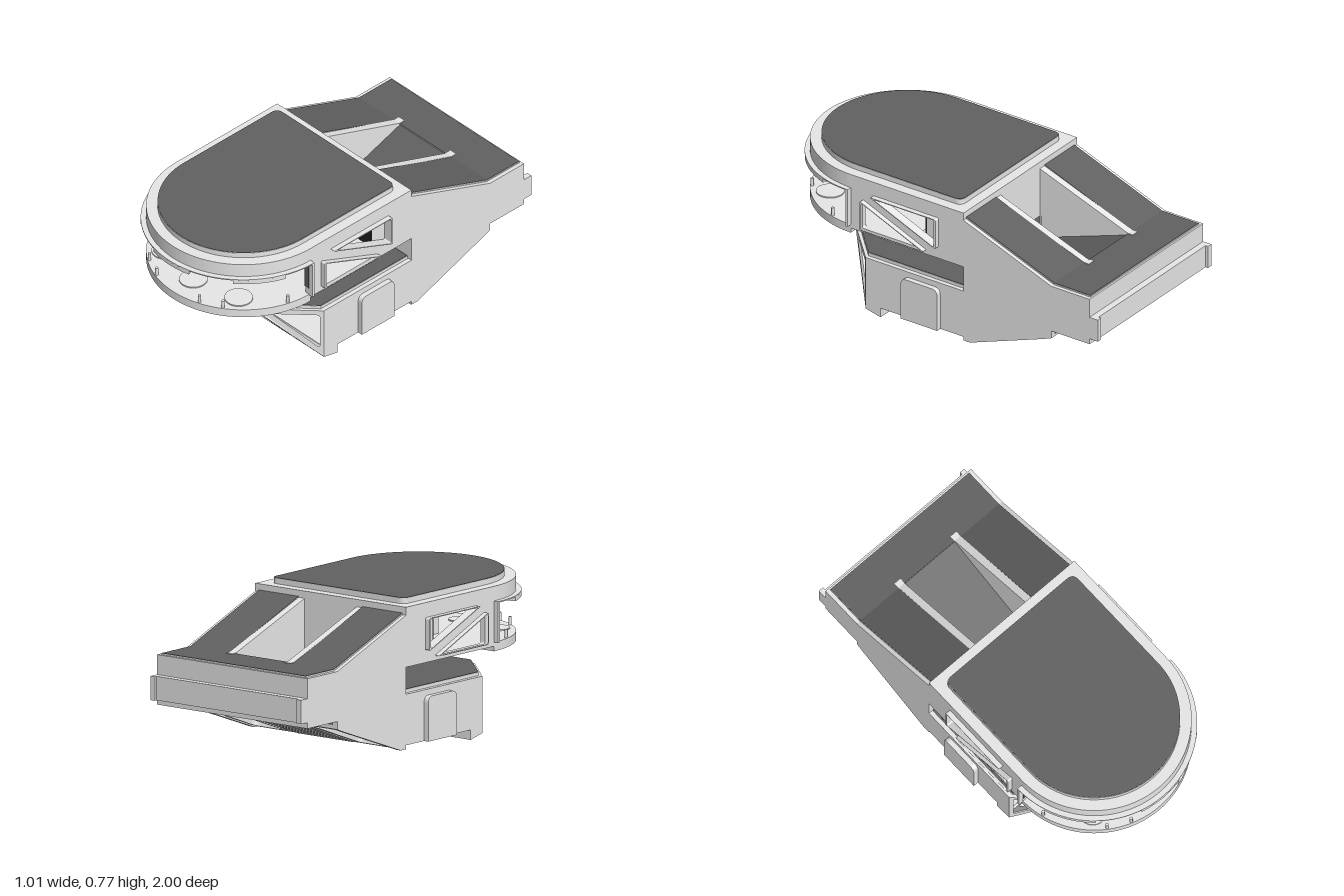
import * as THREE from 'three';

const mat = (name, color) => {
  const m = new THREE.MeshStandardMaterial({ color });
  m.name = name;
  return m;
};

// Closed outline with softened corners
function outline(pts, r = 0, Type = THREE.Shape) {
  const p = pts.map(a => new THREE.Vector2(a[0], a[1]));
  const s = new Type();
  p.forEach((c, i) => {
    const a = p[(i + p.length - 1) % p.length], b = p[(i + 1) % p.length];
    const e = c.clone().add(a.clone().sub(c).setLength(r));
    const f = c.clone().add(b.clone().sub(c).setLength(r));
    if (i) s.lineTo(e.x, e.y); else s.moveTo(e.x, e.y);
    if (r) s.quadraticCurveTo(c.x, c.y, f.x, f.y);
  });
  s.closePath();
  return s;
}
const withHoles = (shape, holes, r) => {
  holes.forEach(h => shape.holes.push(outline(h, r, THREE.Path)));
  return shape;
};
const extrude = (shape, depth) =>
  new THREE.ExtrudeGeometry(shape, { depth, bevelEnabled: false, curveSegments: 32 });

// Profile in (z, y) swept from x0 to x1
const across = (shape, x0, x1) => extrude(shape, x1 - x0).rotateY(-Math.PI / 2).translate(x1, 0, 0);
// Plan in (x, z) raised from y0 to y1
const raise = (shape, y0, y1) => extrude(shape, y1 - y0).rotateX(Math.PI / 2).translate(0, y1, 0);
// Sheet laid on an inclined plane
function incline(geo, origin, u, v) {
  const x = new THREE.Vector3(...u).normalize(), y = new THREE.Vector3(...v).normalize();
  const m = new THREE.Matrix4().makeBasis(x, y, x.clone().cross(y)).setPosition(...origin);
  return geo.applyMatrix4(m);
}
// Mirror in x with the winding put right
function mirrored(geo) {
  const g = geo.index ? geo.toNonIndexed() : geo.clone();
  g.scale(-1, 1, 1);
  for (const a of Object.values(g.attributes)) {
    const n = a.itemSize;
    for (let i = 0; i < a.count; i += 3) for (let k = 0; k < n; k++) {
      const p = (i + 1) * n + k, q = (i + 2) * n + k, t = a.array[p];
      a.array[p] = a.array[q]; a.array[q] = t;
    }
  }
  return g;
}
const box = (x0, x1, y0, y1, z0, z1) =>
  new THREE.BoxGeometry(x1 - x0, y1 - y0, z1 - z0).translate((x0 + x1) / 2, (y0 + y1) / 2, (z0 + z1) / 2);

const CZ = 0.49; // centre of the rounded nose
// D-shaped plan with a round nose and softened rear corners
function dPlan(r, back, c = 0) {
  const s = new THREE.Shape();
  s.moveTo(-r + c, back);
  s.lineTo(r - c, back);
  if (c) s.quadraticCurveTo(r, back, r, back + c);
  s.lineTo(r, CZ);
  s.absarc(0, CZ, r, 0, Math.PI, false);
  s.lineTo(-r, back + c);
  if (c) s.quadraticCurveTo(-r, back, -r + c, back);
  return s;
}
function sector(r0, r1, a0, a1) {
  const s = new THREE.Shape();
  s.absarc(0, CZ, r1, a0, a1, false);
  s.absarc(0, CZ, r0, a1, a0, true);
  s.closePath();
  return s;
}

export function createModel() {
  const g = new THREE.Group();
  g.name = 'model';
  const light = mat('lightGrey', 0xe7e7e7), dark = mat('darkGrey', 0x616161), black = mat('nearBlack', 0x222222);
  const add = (name, geo, m = light) => {
    const mesh = new THREE.Mesh(geo, m);
    mesh.name = name;
    g.add(mesh);
  };
  const pair = (name, geo, m = light) => {
    add(name + 'Left', geo, m);
    add(name + 'Right', mirrored(geo), m);
  };
  const W = 0.478, I = 0.45;

  // Lower and rear side walls
  const hull = [[0.4, 0.305], [0.4, 0.02], [0.31, 0], [0.31, 0.05], [-0.19, 0.05], [-0.19, 0.03], [-0.23, 0.03],
    [-0.67, 0.19], [-0.72, 0.21], [-0.72, 0.25], [-0.95, 0.25], [-0.95, 0.28], [-1, 0.28], [-1, 0.4], [-0.95, 0.4],
    [-0.95, 0.5], [-0.72, 0.5], [-0.19, 0.7], [-0.19, 0.305]];
  pair('hullSide', across(outline(hull), I, W));
  const door = new THREE.Shape();
  door.moveTo(-0.05, 0.05); door.lineTo(0.17, 0.05); door.lineTo(0.17, 0.24);
  door.quadraticCurveTo(0.17, 0.275, 0.135, 0.275); door.lineTo(-0.015, 0.275);
  door.quadraticCurveTo(-0.05, 0.275, -0.05, 0.24);
  pair('sideDoor', across(door, W, 0.505));

  // Upper side walls with triangular windows and projecting rims
  const tris = [[[0.36, 0.665], [-0.04, 0.665], [-0.04, 0.5]], [[0.42, 0.625], [0.42, 0.463], [0.03, 0.463]]];
  const wall = outline([[-0.19, 0.44], [0.5, 0.44], [0.5, 0.74], [-0.19, 0.74]]);
  pair('cabinSide', across(withHoles(wall, tris, 0.012), I, W));
  tris.forEach(t => {
    const c = [0, 1].map(k => (t[0][k] + t[1][k] + t[2][k]) / 3);
    const inner = t.map(p => [c[0] + (p[0] - c[0]) * 0.92, c[1] + (p[1] - c[1]) * 0.92]);
    pair('windowRim', across(withHoles(outline(t, 0.012), [inner], 0.012), I + 0.005, 0.505));
  });

  // Roof and its raised cap
  add('roof', raise(dPlan(W, -0.19), 0.665, 0.74));
  add('roofCap', raise(dPlan(0.422, -0.137, 0.04), 0.74, 0.768));
  add('roofPanel', raise(dPlan(0.42, -0.135, 0.04), 0.768, 0.77), dark);

  // Cabin floor and balcony
  add('cabinFloor', box(-I, I, 0.44, 0.46, -0.19, 0.5));
  add('balcony', raise(sector(0, W, 0, Math.PI), 0.415, 0.46));
  [[-0.26, 0.77], [0, 0.83], [0.26, 0.77]].forEach(([x, z]) =>
    add('floorDisc', new THREE.CylinderGeometry(0.07, 0.07, 0.006, 32).translate(x, 0.463, z)));

  // Panoramic opening: eave, lips, end posts and stubs
  add('eave', raise(sector(0.465, 0.505, 0, Math.PI), 0.661, 0.667));
  add('frontLip', raise(sector(0.455, 0.505, 1.32, Math.PI - 1.32), 0.64, 0.661));
  pair('sideLip', raise(sector(0.455, 0.505, 0.34, 0.86), 0.64, 0.661));
  pair('endPost', box(W, 0.505, 0.46, 0.665, 0.49, 0.503));
  pair('openingEdge', box(I, W, 0.5, 0.661, 0.5, 0.504), dark);
  [0.45, 0.262, 0.152].forEach(x => {
    const z = CZ + Math.sqrt(0.468 ** 2 - x * x);
    pair('stub', new THREE.CylinderGeometry(0.008, 0.008, 0.045, 10).translate(x, 0.48, z));
  });

  // Cabin bulkhead, dark bays and screen
  add('bulkhead', box(-I, I, 0.46, 0.665, -0.19, 0.05));
  add('bulkheadStep', box(-I, I, 0.46, 0.505, 0.05, 0.12));
  pair('darkBay', box(0.21, I, 0.505, 0.665, 0.05, 0.058), black);
  pair('bayJamb', box(0.18, 0.21, 0.505, 0.665, 0.05, 0.058), dark);
  pair('column', box(0.145, 0.18, 0.46, 0.665, 0.05, 0.13));
  pair('columnJamb', box(0.13, 0.145, 0.5, 0.665, 0.05, 0.058), dark);
  add('screenStand', box(-0.125, 0.125, 0.46, 0.665, 0.42, 0.49));
  add('screen', box(-0.102, 0.102, 0.52, 0.628, 0.49, 0.498), black);

  // Lower bay: top deck, floor and prow
  const deck = (w, n, f, b) => outline([[-w, b], [w, b], [w, 0.4], [n, f], [-n, f], [-w, 0.4]]);
  add('lowerDeck', raise(deck(W, 0.24, 0.63, -0.19), 0.29, 0.305));
  add('lowerDeckTop', raise(deck(0.455, 0.23, 0.615, -0.185), 0.305, 0.322));
  add('lowerDeckPanel', raise(deck(0.453, 0.229, 0.613, -0.185), 0.322, 0.324), dark);
  add('bayFloor', box(-I, I, 0.05, 0.06, -0.19, 0.38));
  add('prow', across(outline([[0.4, 0.02], [0.31, 0], [0.31, 0.05], [0.38, 0.05]]), -W, W));

  // Inclined front frame
  const frame = withHoles(outline([[-W, 0], [W, 0], [0.24, 0.355], [-0.24, 0.355]]),
    [[[-0.22, 0.026], [0.22, 0.026], [0.22, 0.335], [-0.22, 0.335]],
      [[0.26, 0.27], [0.26, 0.018], [0.418, 0.018]], [[-0.26, 0.27], [-0.26, 0.018], [-0.418, 0.018]]], 0.022);
  const up = [0, 0.27, 0.23];
  add('frontFrame', incline(extrude(frame, 0.022).translate(0, 0, -0.022), [0, 0.02, 0.4], [1, 0, 0], up));
  // Upright corner facets with triangular windows
  const facet = withHoles(outline([[0, 0], [0, 0.285], [0.331, 0.285]]), [[[0.02, 0.055], [0.02, 0.257], [0.255, 0.257]]], 0.018);
  pair('cornerFacet', incline(extrude(facet, 0.02), [W, 0.02, 0.4], [-0.238, 0, 0.23], [0, 1, 0]));

  // Sloping rear underside with windows
  const belly = outline([[-I, 0], [I, 0], [I, 0.53], [-I, 0.53]]);
  withHoles(belly, [1, -1].map(k => [[0.235 * k, 0.06], [0.43 * k, 0.06], [0.43 * k, 0.47], [0.235 * k, 0.47]]), 0.035);
  const tilt = geo => incline(geo, [0, 0.035, -0.19], [1, 0, 0], [0, 0.19, -0.51]);
  add('belly', tilt(extrude(belly, 0.025).translate(0, 0, -0.009)));
  add('bellyRear', across(outline([[-0.67, 0.2], [-0.72, 0.21], [-0.72, 0.23], [-0.67, 0.22]]), -I, I));
  const rim = withHoles(outline([[0.225, 0.05], [0.44, 0.05], [0.44, 0.48], [0.225, 0.48]], 0.04),
    [[[0.24, 0.065], [0.425, 0.065], [0.425, 0.465], [0.24, 0.465]]], 0.035);
  pair('bellyWindowRim', tilt(extrude(rim, 0.03).translate(0, 0, -0.014)));

  // Ridged middle: steps inside, slats outside
  const steps = [], slope = y => -0.19 - (y - 0.05) * 2.68;
  for (let i = 0; i < 17; i++) {
    const y = 0.06 + i * 0.01;
    steps.push([slope(y), y], [slope(y), y + 0.01]);
  }
  steps.push([-0.71, 0.23], [-0.71, 0.215], [-0.2, 0.045]);
  add('innerSteps', across(outline(steps), -0.18, 0.18));
  for (let i = 0; i < 20; i++) {
    const s = 0.03 + i * 0.024;
    add('outerRidge', tilt(box(-0.18, 0.18, s, s + 0.016, -0.014, -0.008)));
  }
  add('ridgeWall', box(-0.18, 0.18, 0.22, 0.3, -0.712, -0.704));
  for (let i = 0; i < 6; i++)
    add('wallRidge', box(-0.18, 0.18, 0.231 + i * 0.01, 0.238 + i * 0.01, -0.705, -0.7));

  // Rear block and deck
  add('rearBlock', across(outline([[-0.72, 0.25], [-0.95, 0.25], [-0.95, 0.28], [-0.985, 0.28], [-0.985, 0.4],
    [-0.95, 0.4], [-0.95, 0.5], [-0.72, 0.5]]), -I, I));
  add('rearDeck', box(-0.457, 0.457, 0.5, 0.507, -0.94, -0.72));
  add('rearDeckPanel', box(-0.455, 0.455, 0.507, 0.509, -0.938, -0.72), dark);
  add('bayRearPanel', box(-I, I, 0.22, 0.48, -0.72, -0.712), dark);

  // Rear ramps either side of a recessed slope
  const ramp = (lo, hi) => outline([[-0.19, 0.7 + hi], [-0.72, 0.5 + hi], [-0.72, 0.5 + lo], [-0.19, 0.7 + lo]]);
  pair('ramp', across(ramp(-0.02, 0), 0.165, I));
  pair('rampRaised', across(ramp(0, 0.007), 0.203, 0.457));
  pair('rampPanel', across(ramp(0.007, 0.009), 0.203, 0.455), dark);
  pair('recessWall', across(outline([[-0.19, 0.703], [-0.72, 0.512], [-0.75, 0.512], [-0.75, 0.49], [-0.19, 0.305]]), 0.165, 0.203));
  add('recessFloor', across(outline([[-0.19, 0.32], [-0.73, 0.505], [-0.73, 0.496], [-0.19, 0.311]]), -0.165, 0.165), dark);
  pair('neckWall', box(0.16, I, 0.305, 0.44, -0.2, -0.19));
  return g;
}
